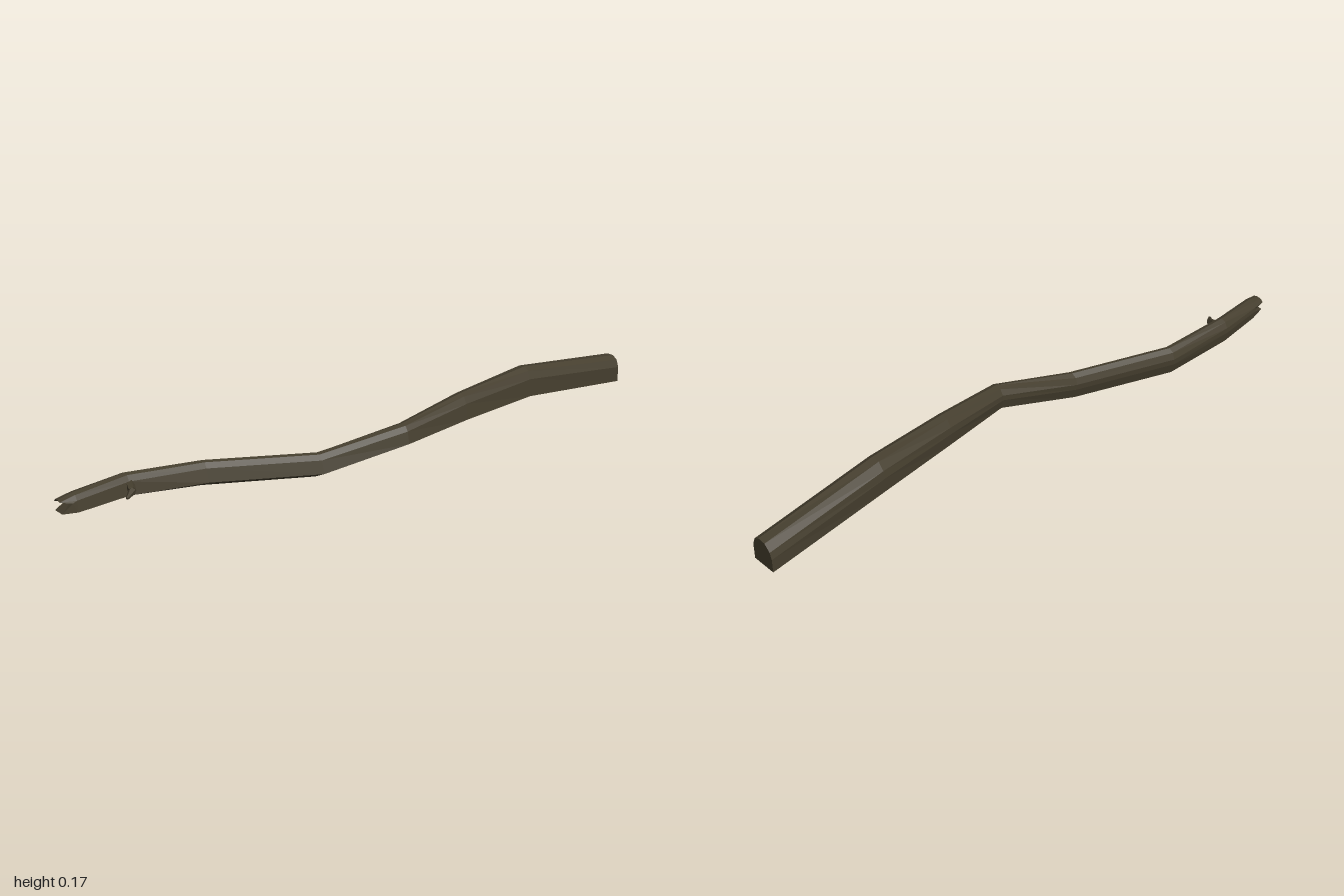
import * as THREE from 'three';

// D-shaped branch section as (z, y): flat underside, domed top
const SECTION = [[-1, -1], [1, -1], [1, 0.2], [0.75, 0.75], [0.3, 1], [-0.35, 0.95], [-0.85, 0.5], [-1, 0]];

// Branch stations: x, lowest y, highest y, back z, front z, roll in degrees
const STATIONS = [
  [-1, 0.06, 0.1, -0.1, -0.045, 10],
  [-0.95, 0.046, 0.109, -0.107, -0.048, 12],
  [-0.78, 0.037, 0.115, -0.128, -0.07, 15],
  [-0.54, 0.01, 0.096, -0.112, -0.05, 22],
  [-0.22, 0, 0.084, 0.01, 0.072, 22],
  [0.05, 0.06, 0.134, 0.063, 0.128, 15],
  [0.3, 0.068, 0.162, 0.016, 0.09, 10],
  [0.59, 0.074, 0.175, -0.033, 0.05, 5],
  [1, 0.035, 0.12, -0.06, 0.024, 0],
];

// Roll the section, then fit it to the station's bounds
function ring([x, y0, y1, z0, z1, roll]) {
  const a = THREE.MathUtils.degToRad(roll), c = Math.cos(a), s = Math.sin(a);
  const pts = SECTION.map(([z, y]) => new THREE.Vector3(x, z * s + y * c, z * c - y * s));
  const box = new THREE.Box3().setFromPoints(pts);
  for (const p of pts) {
    p.y = THREE.MathUtils.mapLinear(p.y, box.min.y, box.max.y, y0, y1);
    p.z = THREE.MathUtils.mapLinear(p.z, box.min.z, box.max.z, z0, z1);
  }
  return pts;
}

function branchGeometry() {
  const rings = STATIONS.map(ring);
  const n = SECTION.length, last = rings.length - 1;
  // Split tip: one notch on each side
  rings[0][2].x = -0.965;
  rings[0][7].x = -0.965;
  const pos = [];
  const tri = (...pts) => pts.forEach((p) => pos.push(p.x, p.y, p.z));
  const middle = (r) => r.reduce((m, p) => m.add(p), new THREE.Vector3()).divideScalar(n);
  const tip = middle(rings[0]), butt = middle(rings[last]);
  tip.x = -0.96;
  for (let j = 0; j < n; j++) {
    const k = (j + 1) % n;
    for (let i = 0; i < last; i++) {
      const a = rings[i], b = rings[i + 1];
      tri(a[j], b[j], a[k]);
      tri(a[k], b[j], b[k]);
    }
    tri(tip, rings[0][j], rings[0][k]);
    tri(butt, rings[last][k], rings[last][j]);
  }
  const g = new THREE.BufferGeometry();
  g.setAttribute('position', new THREE.Float32BufferAttribute(pos, 3));
  g.computeVertexNormals();
  return g;
}

// Tapered twig segment between two points
function twigSegment(from, to, r0, r1, material) {
  const dir = to.clone().sub(from);
  const mesh = new THREE.Mesh(new THREE.CylinderGeometry(r1, r0, dir.length(), 5), material);
  mesh.position.copy(from).add(to).multiplyScalar(0.5);
  mesh.quaternion.setFromUnitVectors(new THREE.Vector3(0, 1, 0), dir.normalize());
  return mesh;
}

export function createModel() {
  const bark = new THREE.MeshStandardMaterial({ color: 0x453e2e, flatShading: true });
  bark.name = 'bark';

  const model = new THREE.Group();
  model.name = 'stick';

  const branch = new THREE.Mesh(branchGeometry(), bark);
  branch.name = 'branch';
  model.add(branch);

  // Small broken twig on the front near the tip
  const twig = new THREE.Group();
  twig.name = 'twig';
  const path = [[-0.775, 0.085, -0.085], [-0.785, 0.078, -0.05], [-0.814, 0.072, -0.024]].map((p) => new THREE.Vector3(...p));
  twig.add(twigSegment(path[0], path[1], 0.014, 0.012, bark));
  twig.add(twigSegment(path[1], path[2], 0.012, 0.004, bark));
  model.add(twig);

  return model;
}
